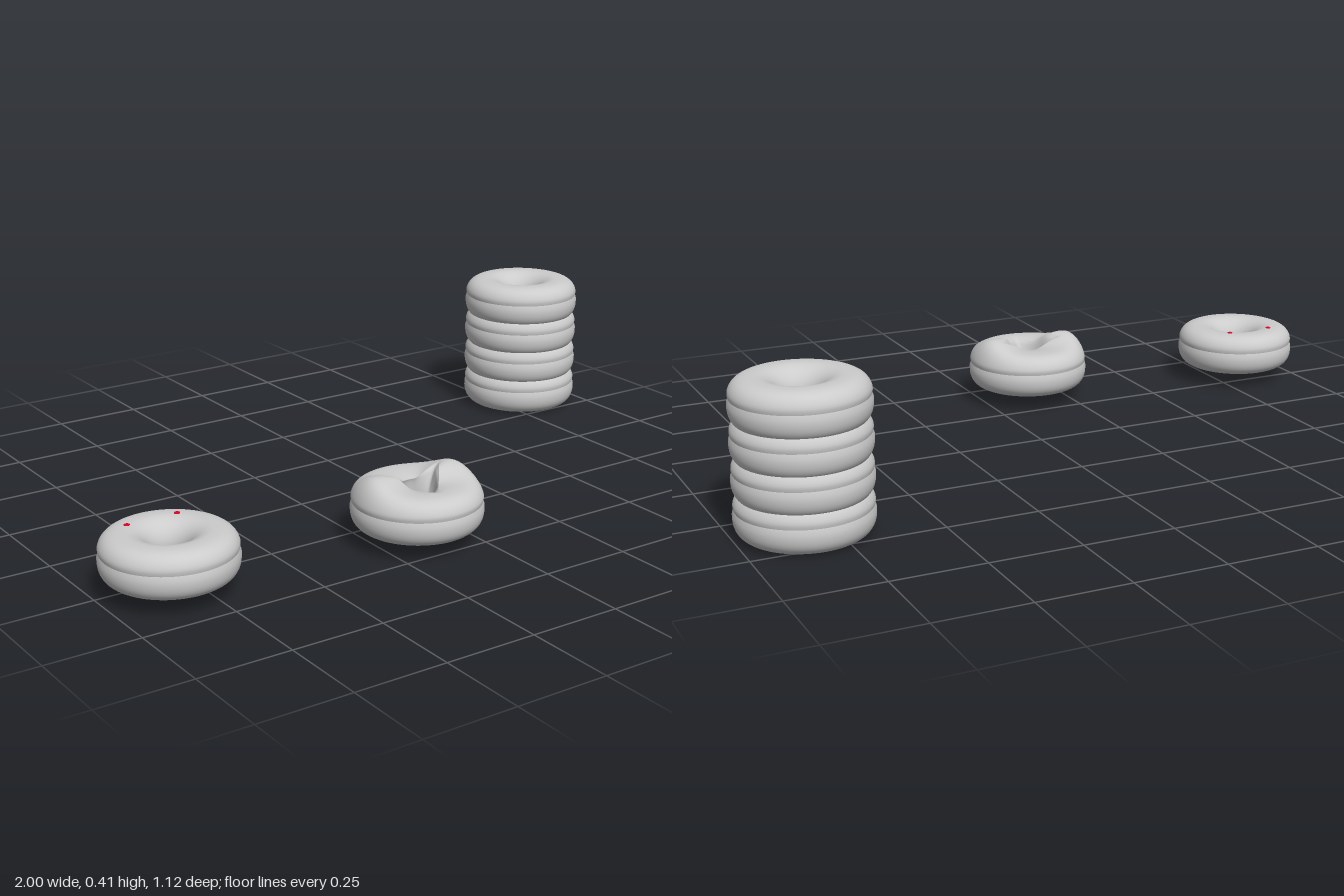
import * as THREE from 'three';

const TAU = Math.PI * 2;
const HALF = 0.0625;      // half the height of a ring
const CREST = 0.11;       // radius of the top of a ring
const HOLE = 0.045;
const SEAM = 0.117;       // angle round the tube where the two halves meet
const grey = new THREE.MeshStandardMaterial({ color: 0xcccccc, side: THREE.DoubleSide });
const red = new THREE.MeshStandardMaterial({ color: 0xdd0022 });
const white = new THREE.MeshStandardMaterial({ color: 0xffffff, side: THREE.DoubleSide });

// Smooth surface swept round the y axis; profile(v, phi) returns [radius, height]
function sweep(name, profile, rows, cols = 72) {
  const pos = [], index = [];
  for (let i = 0; i < cols; i++) {
    const phi = (i / cols) * TAU;
    for (let j = 0; j <= rows; j++) {
      const [r, y] = profile(j / rows, phi);
      pos.push(r * Math.sin(phi), y, r * Math.cos(phi));
    }
  }
  for (let i = 0; i < cols; i++) {
    for (let j = 0; j < rows; j++) {
      const a = i * (rows + 1) + j, b = ((i + 1) % cols) * (rows + 1) + j;
      index.push(a, b, a + 1, b + 1, a + 1, b);
    }
  }
  const g = new THREE.BufferGeometry();
  g.setAttribute('position', new THREE.Float32BufferAttribute(pos, 3));
  g.setIndex(index);
  g.computeVertexNormals();
  const mesh = new THREE.Mesh(g, grey);
  mesh.name = name;
  return mesh;
}

// Cross-section of the ring: squarish outside, round inside, pinched at the seam
function tube(t) {
  const c = Math.cos(t), s = Math.sin(t);
  const p = c > 0 ? 0.75 : 1;
  const y = HALF * Math.sign(s) * Math.abs(s) ** p;
  const r = CREST + 0.065 * Math.sign(c) * Math.abs(c) ** p;
  const pinch = c > 0 ? 0.004 * Math.exp(-(((y - 0.0125) / 0.007) ** 2)) : 0;
  return [r - pinch, y + HALF];
}

const lowerHalf = () => sweep('lowerHalf', v => tube(-Math.PI + v * (Math.PI + SEAM)), 28);
const upperHalf = () => sweep('upperHalf', v => tube(SEAM + v * (Math.PI - SEAM)), 28);

function ring(name) {
  const g = new THREE.Group();
  g.name = name;
  g.add(lowerHalf(), upperHalf());
  return g;
}

// Outline of the three-cornered mouth: distance from the centre towards phi
const corners = [[0, 0.092], [0.095, -0.034], [-0.095, -0.034]];
function mouthRadius(phi) {
  const dx = Math.sin(phi), dz = Math.cos(phi);
  let sum = 0;
  corners.forEach(([ax, az], i) => {
    const [bx, bz] = corners[(i + 1) % 3];
    const nx = bz - az, nz = ax - bx;
    const k = (dx * nx + dz * nz) / (ax * nx + az * nz);
    if (k > 0) sum += k ** 12;
  });
  return Math.max(sum ** (-1 / 12), HOLE - 0.006);
}

// The two back corners of the mouth are lifted
const cornerPhi = Math.atan2(0.11, -0.012);
function lift(phi) {
  const a = phi > Math.PI ? TAU - phi : phi;
  return 0.03 * Math.exp(-(((a - cornerPhi) / 0.55) ** 2));
}
const lipHeight = phi => 2 * HALF - 0.012 + 0.008 * (mouthRadius(phi) / 0.09) + lift(phi);

function mouthRing(name) {
  const g = new THREE.Group();
  g.name = name;
  // skin from the seam over the crest to the lip
  const skin = sweep('upperSkin', (v, phi) => {
    const m = mouthRadius(phi);
    if (v < 0.65) {
      const u = v / 0.65;
      const [r, y] = tube(SEAM + u * (Math.PI / 2 - SEAM));
      const crest = Math.max(CREST, m + 0.015);
      const w = u * u * (3 - 2 * u);
      return [r + (crest - CREST) * w, y + lift(phi) * w];
    }
    const u = (v - 0.65) / 0.35;
    const crest = Math.max(CREST, m + 0.015);
    const top = 2 * HALF + lift(phi);
    return [crest + (m - crest) * u, top + (lipHeight(phi) - top) * u * u];
  }, 30, 96);
  // wall from the lip down to the hole
  const throat = sweep('throat', (v, phi) => {
    const m = mouthRadius(phi);
    return [m + (HOLE - m) * Math.sqrt(v), lipHeight(phi) + (HALF - lipHeight(phi)) * v];
  }, 10, 96);
  g.add(lowerHalf(), skin, throat);
  return g;
}

function addFace(g) {
  for (const side of [-1, 1]) {
    const eye = new THREE.Mesh(new THREE.SphereGeometry(0.008, 16, 10), red);
    eye.name = side > 0 ? 'leftEye' : 'rightEye';
    eye.scale.y = 0.35;
    eye.position.set(side * 0.069, 2 * HALF, -0.083);
    g.add(eye);
  }
  // two rows of narrow pointed teeth across the hole
  const n = 8, w = (2 * HOLE) / n;
  for (const row of [-1, 1]) {
    for (let i = 0; i < n; i++) {
      const x = -HOLE + (i + 0.5) * w;
      const reach = Math.sqrt(HOLE * HOLE - x * x);
      const shape = new THREE.Shape();
      shape.moveTo(x - w / 2, row * reach);
      shape.lineTo(x + w / 2, row * reach);
      shape.lineTo(x, row * 0.002);
      const tooth = new THREE.Mesh(new THREE.ShapeGeometry(shape), white);
      tooth.name = row > 0 ? 'upperTooth' : 'lowerTooth';
      tooth.rotation.x = -Math.PI / 2;
      tooth.position.y = HALF;
      g.add(tooth);
    }
  }
  return g;
}

export function createModel() {
  const model = new THREE.Group();
  model.name = 'ringSet';

  const closed = addFace(ring('plainRing'));
  closed.position.set(-0.825, 0.04, 0.313);

  const open = addFace(mouthRing('mouthRing'));
  open.position.set(-0.14, 0.04, 0.387);

  // stack of four overlapping rings
  const stack = new THREE.Group();
  stack.name = 'ringStack';
  for (let i = 0; i < 4; i++) {
    const r = ring('stackedRing');
    r.position.y = i * 0.0935;
    stack.add(r);
  }
  stack.position.set(0.825, 0, -0.387);

  model.add(closed, open, stack);
  return model;
}
